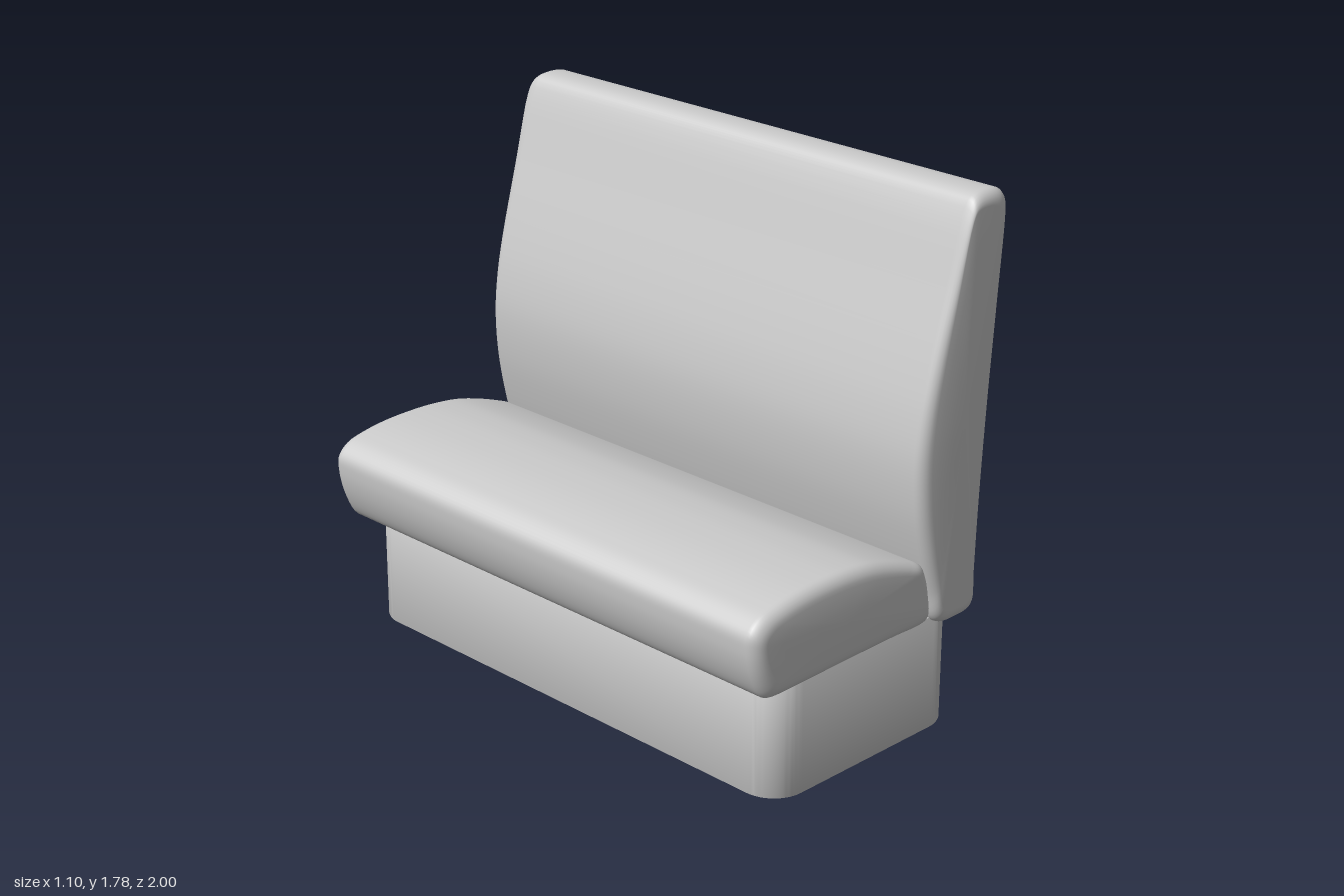
import * as THREE from 'three';
import { toCreasedNormals } from 'three/addons/utils/BufferGeometryUtils.js';

const material = new THREE.MeshStandardMaterial({ color: 0xcccccc });

// Padded cushion: a smooth x/y profile (counter-clockwise) swept along z with softened ends
function cushionGeometry(points, halfLength, edge) {
  const curve = new THREE.CatmullRomCurve3(points.map(([x, y]) => new THREE.Vector3(x, y, 0)), true, 'centripetal');
  const count = points.length * 5;
  const loop = [];
  for (let j = 0; j < count; j++) loop.push(curve.getPoint(j / count));
  const box = new THREE.Box3().setFromPoints(loop);
  const c = box.getCenter(new THREE.Vector3());
  const size = box.getSize(new THREE.Vector3());

  // Stations for one end, from the straight middle to the flat face
  const end = [];
  for (let k = 0; k <= 6; k++) {
    const a = (k / 6) * Math.PI / 2;
    const inset = edge * (1 - Math.cos(a));
    end.push({
      z: halfLength - edge + (edge - 0.006) * Math.sin(a),
      sx: 1 - 2 * inset / size.x,
      sy: 1 - 2 * inset / size.y,
    });
  }
  const last = end[end.length - 1];
  for (const [s, bulge] of [[0.8, 0.003], [0.4, 0.006]]) {
    end.push({ z: halfLength - 0.006 + bulge, sx: last.sx * s, sy: last.sy * s });
  }
  const stations = [...end.map((e) => ({ ...e, z: -e.z })).reverse(), ...end];

  const position = [];
  const index = [];
  for (const s of stations) {
    for (const p of loop) position.push(c.x + (p.x - c.x) * s.sx, c.y + (p.y - c.y) * s.sy, s.z);
  }
  for (let i = 0; i < stations.length - 1; i++) {
    for (let j = 0; j < count; j++) {
      const a = i * count + j;
      const b = i * count + (j + 1) % count;
      index.push(a, b, b + count, a, b + count, a + count);
    }
  }
  // End faces
  const back = stations.length * count;
  const front = back + 1;
  const top = (stations.length - 1) * count;
  position.push(c.x, c.y, -halfLength, c.x, c.y, halfLength);
  for (let j = 0; j < count; j++) {
    const n = (j + 1) % count;
    index.push(back, n, j, front, top + j, top + n);
  }
  const geometry = new THREE.BufferGeometry();
  geometry.setAttribute('position', new THREE.Float32BufferAttribute(position, 3));
  geometry.setIndex(index);
  geometry.computeVertexNormals();
  return geometry;
}

// Plinth with rounded vertical corners
function baseGeometry(width, length, height, r) {
  const x = width / 2;
  const y = length / 2;
  const bevel = 0.006;
  const shape = new THREE.Shape();
  shape.moveTo(-x + r, -y);
  shape.lineTo(x - r, -y).absarc(x - r, -y + r, r, -Math.PI / 2, 0);
  shape.lineTo(x, y - r).absarc(x - r, y - r, r, 0, Math.PI / 2);
  shape.lineTo(-x + r, y).absarc(-x + r, y - r, r, Math.PI / 2, Math.PI);
  shape.lineTo(-x, -y + r).absarc(-x + r, -y + r, r, Math.PI, Math.PI * 1.5);
  const geometry = new THREE.ExtrudeGeometry(shape, {
    depth: height - 2 * bevel, curveSegments: 10,
    bevelEnabled: true, bevelSize: bevel, bevelOffset: -bevel, bevelThickness: bevel, bevelSegments: 2,
  });
  geometry.translate(0, 0, bevel).rotateX(-Math.PI / 2);
  return toCreasedNormals(geometry, 0.6);
}

export function createModel() {
  const group = new THREE.Group();
  const add = (name, geometry) => {
    const mesh = new THREE.Mesh(geometry, material);
    mesh.name = name;
    group.add(mesh);
    return mesh;
  };

  add('base', baseGeometry(0.85, 1.91, 0.4, 0.12)).position.x = 0.005;

  // Seat: domed top, front edge sloping under
  add('seatCushion', cushionGeometry([
    [-0.46, 0.39], [-0.33, 0.39], [-0.1, 0.394], [0.1, 0.396], [0.25, 0.398], [0.268, 0.415],
    [0.262, 0.49], [0.245, 0.565], [0.225, 0.605], [0.17, 0.632], [0.0, 0.686], [-0.12, 0.702],
    [-0.22, 0.705], [-0.34, 0.7], [-0.44, 0.685], [-0.505, 0.665], [-0.545, 0.625],
    [-0.547, 0.57], [-0.53, 0.49], [-0.5, 0.42], [-0.48, 0.396],
  ], 0.995, 0.05));

  // Backrest: lumbar bulge toward the seat, leaning back at the top
  add('backrest', cushionGeometry([
    [0.32, 0.377], [0.38, 0.373], [0.44, 0.377], [0.466, 0.395], [0.469, 0.5], [0.478, 0.75],
    [0.5, 1.1], [0.527, 1.42], [0.549, 1.7], [0.545, 1.74], [0.52, 1.768], [0.46, 1.778],
    [0.4, 1.768], [0.375, 1.735], [0.3, 1.49], [0.23, 1.25], [0.196, 1.1], [0.181, 0.96],
    [0.19, 0.8], [0.22, 0.64], [0.26, 0.49], [0.285, 0.4],
  ], 1, 0.045));

  return group;
}
